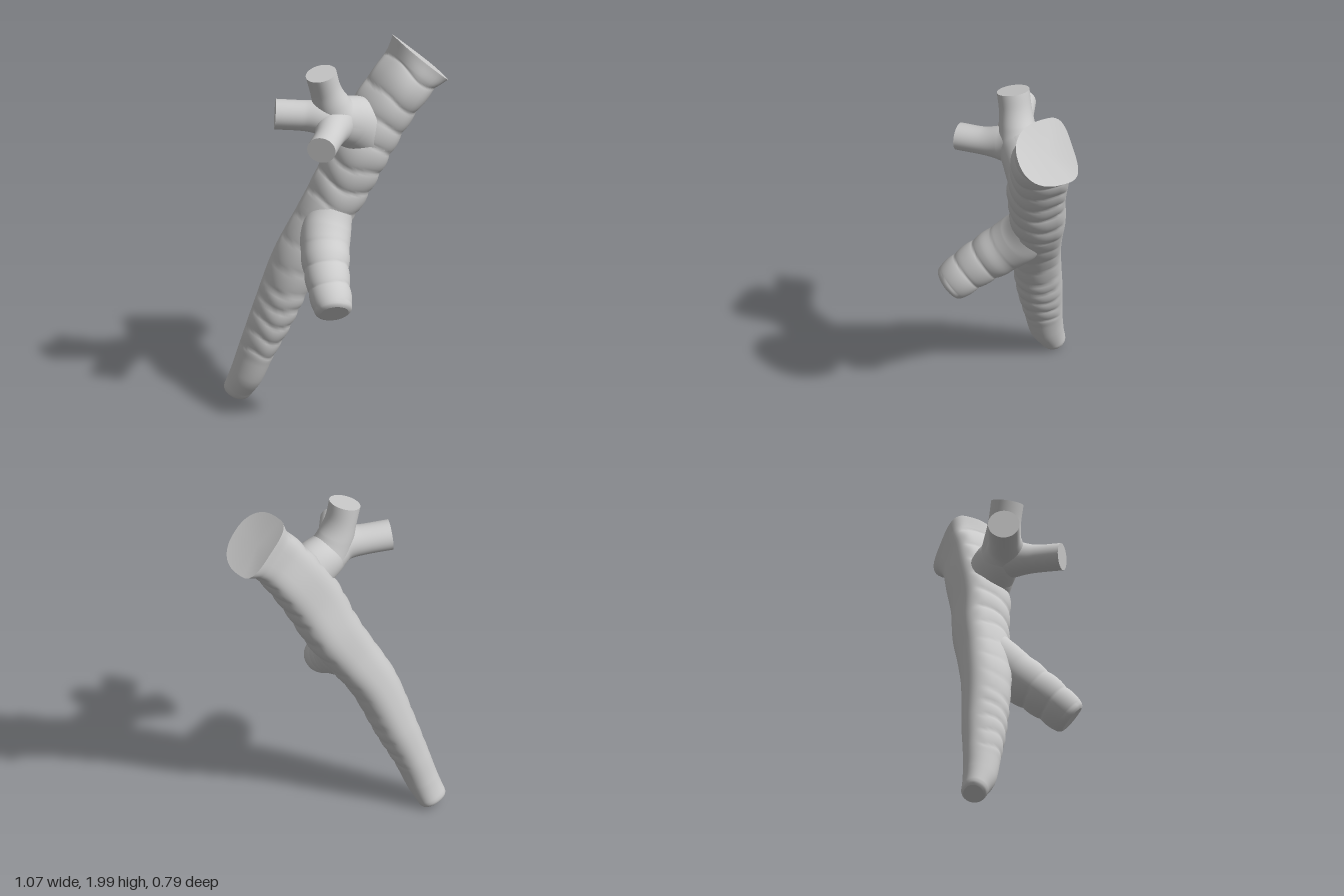
import * as THREE from 'three';
import { mergeGeometries } from 'three/addons/utils/BufferGeometryUtils.js';

const SEG = 48;
const material = new THREE.MeshStandardMaterial({ color: 0xcccccc });
const { smoothstep, lerp } = THREE.MathUtils;

// Sweeps an oval along stations [x, y, z, half width, half depth].
// flat(t): 0 for an oval, 1 for a boxy flat back; bump(p, angle, t): radius factor;
// bevelStart / bevelEnd: rounding of the ends; dish: depth of the end cap.
function tube(stations, { rows = 40, flat = () => 0, bump = () => 1, bevelStart = 0, bevelEnd = 0, dish = 0 } = {}) {
  const path = new THREE.CatmullRomCurve3(stations.map(s => new THREE.Vector3(s[0], s[1], s[2])));
  const sizes = new THREE.CatmullRomCurve3(stations.map(s => new THREE.Vector3(s[3], s[4], 0)), false, 'catmullrom', 0.4);
  const loops = [];

  function addLoop(t, scale = 1, shift = 0) {
    const p = path.getPoint(t), r = sizes.getPoint(t), T = path.getTangent(t);
    const N = new THREE.Vector3(0, 0, 1).addScaledVector(T, -T.z).normalize();
    const S = new THREE.Vector3().crossVectors(N, T);
    const center = p.clone().addScaledVector(T, shift);
    const w = flat(t), back = lerp(1, 0.55, w);
    const loop = [];
    for (let j = 0; j < SEG; j++) {
      const a = (j / SEG) * Math.PI * 2, sin = Math.sin(a), cos = Math.cos(a);
      const e = sin < 0 ? lerp(1, 0.5, w) : lerp(1, 0.85, w);
      const side = Math.sign(cos) * Math.pow(Math.abs(cos), e);
      const reach = Math.pow(Math.abs(sin), e) * (sin < 0 ? -back : 1);
      const depth = (reach - (1 - back) / 2) / ((1 + back) / 2);
      const k = bump(p, a, t) * scale;
      loop.push(center.clone().addScaledVector(S, side * r.x * k).addScaledVector(N, depth * r.y * k));
    }
    loops.push(loop);
  }

  const bevel = [[0.75, 1], [0.88, 0.8], [0.96, 0.45]];
  if (bevelStart) bevel.forEach(([s, d]) => addLoop(0, s, -d * bevelStart));
  for (let i = 0; i <= rows; i++) addLoop(i / rows);
  if (bevelEnd) [...bevel].reverse().forEach(([s, d]) => addLoop(1, s, d * bevelEnd));

  // Wall
  const index = [];
  for (let i = 0; i < loops.length - 1; i++) {
    for (let j = 0; j < SEG; j++) {
      const k = (j + 1) % SEG;
      const a = i * SEG + j, b = i * SEG + k, c = a + SEG, d = b + SEG;
      index.push(a, b, c, b, d, c);
    }
  }
  const wall = new THREE.BufferGeometry().setFromPoints(loops.flat()).setIndex(index);

  // Separate end caps keep a sharp rim
  const cap = (loop, isEnd) => {
    const mid = loop.reduce((m, v) => m.add(v), new THREE.Vector3()).divideScalar(SEG);
    if (isEnd) mid.addScaledVector(path.getTangent(1), -dish);
    const faces = [];
    for (let j = 0; j < SEG; j++) {
      const k = (j + 1) % SEG;
      faces.push(SEG, isEnd ? j : k, isEnd ? k : j);
    }
    return new THREE.BufferGeometry().setFromPoints([...loop, mid]).setIndex(faces);
  };
  const parts = [wall, cap(loops[0], false), cap(loops[loops.length - 1], true)];
  parts.forEach(g => g.computeVertexNormals());
  return mergeGeometries(parts);
}

// Rounded bands separated by narrow grooves
const bands = x => Math.pow(Math.abs(Math.sin(Math.PI * x)), 0.6) - 0.6;

// Main tube: banded on the front and sides, calmer beside the lower branch,
// smooth at the back, foot and rim
function trunkBump(p, a) {
  const front = smoothstep(Math.sin(a), -0.7, -0.2);
  const ramp = smoothstep(p.y, 0.24, 0.32) * (1 - smoothstep(p.y, 1.8, 1.86));
  const calm = p.y > 0.65 && p.y < 1.1 ? 0.45 : 1;
  const spacing = p.y < 0.65 ? 0.088 : 0.115;
  const wobble = 0.01 * Math.sin(3 * a + p.y * 9);
  return 1 + 0.09 * front * ramp * calm * bands((p.y + wobble - 0.65) / spacing);
}

export function createModel() {
  const group = new THREE.Group();
  const add = (name, geometry) => {
    const mesh = new THREE.Mesh(geometry, material);
    mesh.name = name;
    group.add(mesh);
  };

  // Round at the foot, flat-backed towards the rim
  add('mainTube', tube([
    [-0.457, 0.054, -0.332, 0.078, 0.068],
    [-0.43, 0.15, -0.288, 0.084, 0.088],
    [-0.388, 0.3, -0.25, 0.09, 0.1],
    [-0.322, 0.5, -0.2, 0.105, 0.117],
    [-0.222, 0.8, -0.13, 0.122, 0.127],
    [-0.115, 1.0, -0.08, 0.132, 0.132],
    [-0.005, 1.2, -0.038, 0.142, 0.137],
    [0.078, 1.4, 0.01, 0.149, 0.142],
    [0.192, 1.6, 0.045, 0.145, 0.143],
    [0.285, 1.74, 0.08, 0.142, 0.145],
    [0.35, 1.815, 0.092, 0.148, 0.146],
    [0.398, 1.867, 0.1, 0.179, 0.15],
  ], { rows: 200, flat: t => lerp(0.15, 0.9, smoothstep(t, 0.05, 0.95)), bump: trunkBump, bevelStart: 0.032, dish: 0.02 }));

  // Lower branch leaning out to the front
  add('lowerBranch', tube([
    [-0.06, 1.1, -0.045, 0.11, 0.11],
    [-0.13, 0.98, 0.0, 0.132, 0.13],
    [-0.2, 0.87, 0.11, 0.122, 0.122],
    [-0.25, 0.78, 0.22, 0.113, 0.108],
    [-0.283, 0.695, 0.318, 0.105, 0.098],
  ], {
    rows: 90,
    bump: (p, a, t) => 1 + 0.08 * smoothstep(t, 0.35, 0.5) * bands(t * 5 + 0.05 * Math.sin(2 * a)),
    bevelEnd: 0.028,
  }));

  // Upper branch: one stem splitting into three blunt twigs
  const stem = [
    [0.14, 1.45, 0.035, 0.13, 0.125],
    [0.045, 1.56, 0.04, 0.143, 0.12],
    [-0.055, 1.605, 0.035, 0.122, 0.108],
  ];
  const twigs = {
    upperTwig: [[-0.112, 1.7, 0.025, 0.097, 0.095], [-0.145, 1.79, 0.02, 0.08, 0.086], [-0.172, 1.885, 0.02, 0.08, 0.086]],
    frontTwig: [[-0.14, 1.595, 0.09, 0.093, 0.09], [-0.22, 1.582, 0.167, 0.072, 0.076], [-0.32, 1.575, 0.262, 0.07, 0.076]],
    backTwig: [[-0.15, 1.635, 0.02, 0.095, 0.095], [-0.24, 1.645, -0.035, 0.08, 0.082], [-0.37, 1.655, -0.112, 0.079, 0.082]],
  };
  for (const [name, stations] of Object.entries(twigs)) {
    add(name, tube([...stem, ...stations], { rows: 50 }));
  }
  return group;
}
